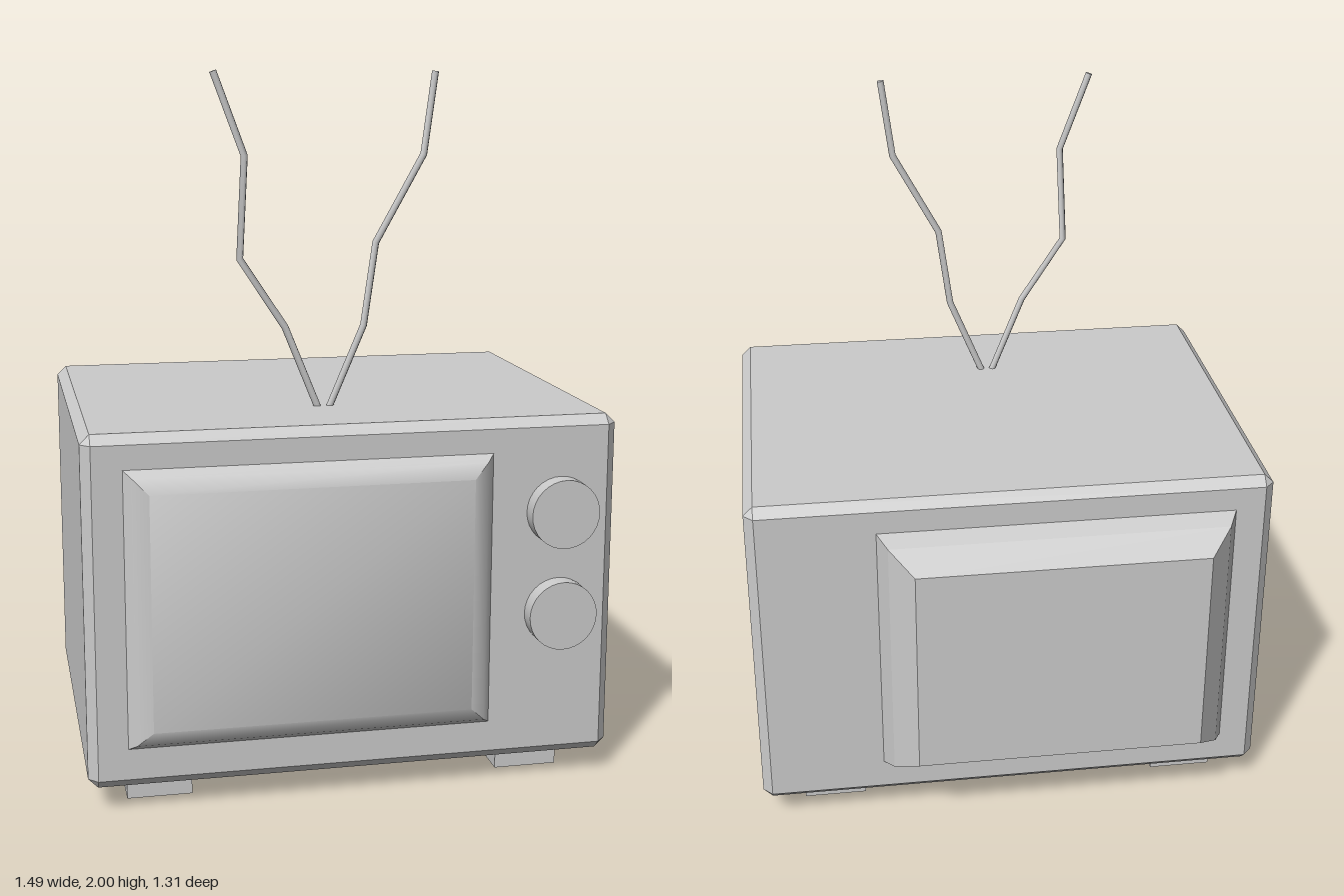
import * as THREE from 'three';
import { toCreasedNormals } from 'three/addons/utils/BufferGeometryUtils.js';
import { ConvexGeometry } from 'three/addons/geometries/ConvexGeometry.js';

const material = new THREE.MeshStandardMaterial({ color: 0xcccccc });

function add(parent, name, geometry, x = 0, y = 0, z = 0) {
  const mesh = new THREE.Mesh(geometry, material);
  mesh.name = name;
  mesh.position.set(x, y, z);
  parent.add(mesh);
  return mesh;
}

// Box with every edge cut at 45 degrees; half sizes a, b, c
function chamferedBox(a, b, c, cut) {
  const points = [];
  for (const x of [-1, 1]) for (const y of [-1, 1]) for (const z of [-1, 1]) {
    points.push(
      new THREE.Vector3(x * a, y * (b - cut), z * (c - cut)),
      new THREE.Vector3(x * (a - cut), y * b, z * (c - cut)),
      new THREE.Vector3(x * (a - cut), y * (b - cut), z * c));
  }
  return new ConvexGeometry(points);
}

// Stacked rectangles [halfWidth, halfHeight, depth] growing along +z, with a closed end
function steppedPanel(rings, creaseAngle) {
  const positions = [], index = [];
  for (const [w, h, z] of rings) positions.push(-w, -h, z, w, -h, z, w, h, z, -w, h, z);
  for (let r = 0; r < rings.length - 1; r++) {
    for (let i = 0; i < 4; i++) {
      const a = r * 4 + i, b = r * 4 + (i + 1) % 4;
      index.push(a, b, b + 4, a, b + 4, a + 4);
    }
  }
  const e = (rings.length - 1) * 4;
  index.push(e, e + 1, e + 2, e, e + 2, e + 3);
  const geometry = new THREE.BufferGeometry();
  geometry.setAttribute('position', new THREE.Float32BufferAttribute(positions, 3));
  geometry.setIndex(index);
  return toCreasedNormals(geometry, creaseAngle);
}

// Straight segments joined at the given points, one curve step per point
class Polyline extends THREE.Curve {
  constructor(points) {
    super();
    this.points = points;
  }
  getPoint(t, target = new THREE.Vector3()) {
    const last = this.points.length - 1;
    const i = Math.min(Math.floor(t * last), last - 1);
    return target.lerpVectors(this.points[i], this.points[i + 1], t * last - i);
  }
  getPointAt(u, target) { return this.getPoint(u, target); }
  getTangentAt(u, target) { return this.getTangent(u, target); }
}

function addAntenna(parent, name, coordinates) {
  const group = new THREE.Group();
  group.name = name;
  const points = coordinates.map(p => new THREE.Vector3(...p));
  const path = new Polyline(points);
  add(group, name + 'Rod', new THREE.TubeGeometry(path, points.length - 1, 0.01, 8, false));
  const tip = add(group, name + 'Tip', new THREE.CircleGeometry(0.01, 8));
  tip.position.copy(points[points.length - 1]);
  tip.quaternion.setFromUnitVectors(new THREE.Vector3(0, 0, 1), path.getTangentAt(1));
  parent.add(group);
}

export function createModel() {
  const model = new THREE.Group();
  model.name = 'television';

  // Cabinet
  add(model, 'cabinet', chamferedBox(0.745, 0.495, 0.567, 0.027), 0, 0.565, 0.038);

  // Softly bulging screen
  add(model, 'screen', steppedPanel([
    [0.51, 0.39, 0], [0.488, 0.372, 0.027], [0.445, 0.33, 0.05],
  ], THREE.MathUtils.degToRad(35)), -0.125, 0.575, 0.605);

  // Faceted housing behind the screen
  const housing = add(model, 'backHousing', steppedPanel([
    [0.51, 0.39, 0], [0.482, 0.37, 0.055], [0.415, 0.317, 0.13],
  ], 0.01), -0.125, 0.575, -0.529);
  housing.rotation.y = Math.PI;

  // Tuning knobs
  for (const [name, y] of [['upperKnob', 0.793], ['lowerKnob', 0.5]]) {
    const knob = add(model, name, new THREE.CylinderGeometry(0.098, 0.098, 0.05, 32), 0.583, y, 0.63);
    knob.rotation.x = Math.PI / 2;
  }

  // Feet
  for (const [side, x] of [['Right', -0.542], ['Left', 0.53]]) {
    for (const [end, z] of [['front', 0.422], ['back', -0.342]]) {
      add(model, end + side + 'Foot', new THREE.BoxGeometry(0.183, 0.08, 0.177), x, 0.04, z);
    }
  }

  // Bent antennas
  addAntenna(model, 'rightAntenna', [
    [-0.047, 1.05, 0.312], [-0.145, 1.29, 0.32], [-0.273, 1.485, 0.323], [-0.26, 1.77, 0.335], [-0.345, 1.998, 0.338],
  ]);
  addAntenna(model, 'leftAntenna', [
    [-0.018, 1.05, 0.312], [0.082, 1.29, 0.32], [0.115, 1.525, 0.324], [0.25, 1.77, 0.33], [0.28, 1.998, 0.333],
  ]);

  return model;
}
